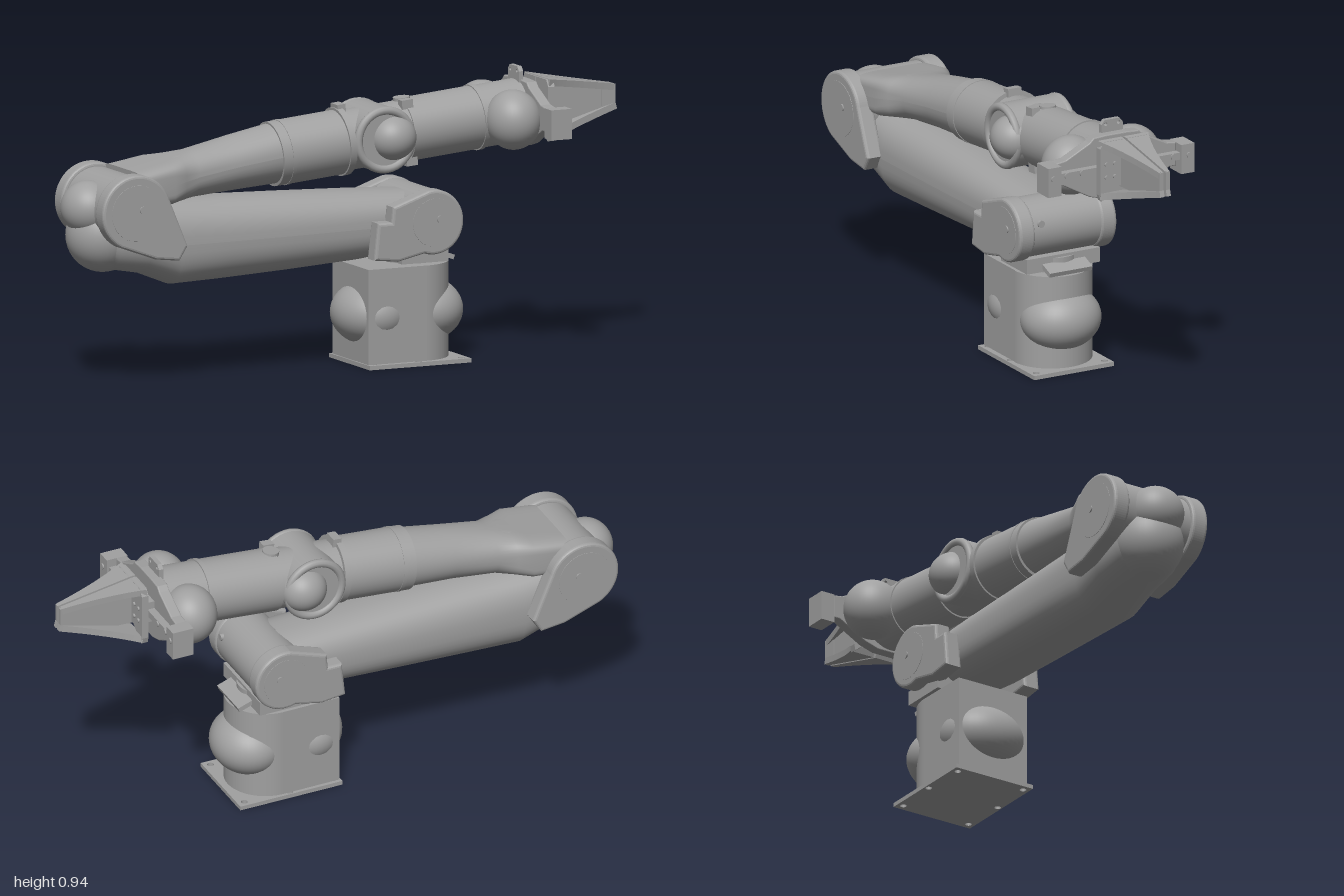
import * as THREE from 'three';

const metal = new THREE.MeshStandardMaterial({ color: 0xa0a0a0 });
metal.name = 'machine grey';

function add(parent, name, geo, x = 0, y = 0, z = 0) {
  const m = new THREE.Mesh(geo, metal);
  m.name = name;
  m.position.set(x, y, z);
  parent.add(m);
  return m;
}
const box = (w, h, d) => new THREE.BoxGeometry(w, h, d);
const cylX = (r, l, r2 = r) => new THREE.CylinderGeometry(r2, r, l, 40).rotateZ(-Math.PI / 2);
const cylZ = (r, l, r2 = r) => new THREE.CylinderGeometry(r2, r, l, 48).rotateX(Math.PI / 2);
const ball = (rx, ry, rz) => new THREE.SphereGeometry(1, 40, 28).scale(rx, ry, rz);
const poly = pts => new THREE.Shape(pts.map(p => new THREE.Vector2(p[0], p[1])));
const extrude = (shape, depth, bevel = 0) => new THREE.ExtrudeGeometry(shape, {
  depth, bevelEnabled: bevel > 0, bevelThickness: bevel, bevelSize: bevel,
  bevelOffset: -bevel, bevelSegments: 3, curveSegments: 32,
});

// Superellipse sections along x: [x, centre y, half height, half depth, exponent]
function loft(sections, n = 48) {
  const pos = [], idx = [];
  const ring = ([x, yc, ry, rz, e]) => {
    for (let j = 0; j <= n; j++) {
      const a = (j / n) * Math.PI * 2, s = Math.sin(a), c = Math.cos(a);
      pos.push(x, yc + ry * Math.sign(s) * Math.abs(s) ** e, rz * Math.sign(c) * Math.abs(c) ** e);
    }
  };
  sections.forEach(ring);
  const w = n + 1;
  for (let i = 0; i < sections.length - 1; i++) for (let j = 0; j < n; j++) {
    const a = i * w + j, b = a + w;
    idx.push(a, b, b + 1, a, b + 1, a + 1);
  }
  // End caps
  [sections[0], sections[sections.length - 1]].forEach((s, k) => {
    const start = pos.length / 3;
    ring(s);
    const c = pos.length / 3;
    pos.push(s[0], s[1], 0);
    for (let j = 0; j < n; j++) {
      if (k) idx.push(c, start + j + 1, start + j);
      else idx.push(c, start + j, start + j + 1);
    }
  });
  const g = new THREE.BufferGeometry();
  g.setAttribute('position', new THREE.Float32BufferAttribute(pos, 3));
  g.setIndex(idx);
  g.computeVertexNormals();
  return g;
}

// Joint cover with a raised round lid, on both sides
function jointCovers(parent, name, shape, cx, cy, r) {
  for (const side of [1, -1]) {
    const g = new THREE.Group();
    g.name = name;
    g.scale.z = side;
    parent.add(g);
    add(g, name + 'Plate', extrude(shape, 0.04, 0.01), cx, cy, 0.133);
    add(g, name + 'Rim', new THREE.TorusGeometry(r * 0.84, 0.008, 10, 48), cx, cy, 0.174);
    add(g, name + 'Lid', cylZ(r * 0.78, 0.02, r * 0.74), cx, cy, 0.174);
    add(g, name + 'Screw', cylZ(0.012, 0.006), cx + 0.02, cy + 0.01, 0.185);
  }
}

function buildBase(root) {
  const g = new THREE.Group();
  g.name = 'base';
  root.add(g);
  // Mounting plate with bolt holes
  const plate = poly([[-0.185, -0.15], [0.185, -0.15], [0.185, 0.15], [-0.185, 0.15]]);
  for (const x of [-0.16, 0, 0.16]) for (const z of [-0.128, 0.128]) {
    const hole = new THREE.Path();
    hole.absarc(x, z * (x ? 1 : 1.06), 0.011, 0, Math.PI * 2, true);
    plate.holes.push(hole);
  }
  add(g, 'basePlate', extrude(plate, 0.014).rotateX(-Math.PI / 2), 0.225, 0, 0.003);
  // Column: flat at the back end, round at the other
  const col = new THREE.Shape();
  col.moveTo(0.045, -0.134);
  col.lineTo(0.25, -0.134);
  col.absarc(0.25, 0, 0.136, -Math.PI / 2, Math.PI / 2, false);
  col.lineTo(0.045, 0.134);
  add(g, 'column', extrude(col, 0.315).rotateX(-Math.PI / 2), 0, 0.014, 0);
  add(g, 'rearBulge', ball(0.125, 0.107, 0.144), 0.113, 0.165, 0);
  add(g, 'frontBulge', ball(0.125, 0.107, 0.138), 0.313, 0.165, 0);
  add(g, 'neck', new THREE.CylinderGeometry(0.085, 0.085, 0.06, 40), 0.26, 0.35, 0);
  add(g, 'saddle', box(0.17, 0.05, 0.275), 0.25, 0.364, 0);
  add(g, 'saddleLip', box(0.06, 0.016, 0.16), 0.355, 0.35, 0).rotation.z = -0.35;
}

function buildLowerArm(root) {
  const g = new THREE.Group();
  g.name = 'lowerArm';
  root.add(g);
  add(g, 'shoulderHousing', cylZ(0.1, 0.28), 0.265, 0.48, 0.003);
  add(g, 'shoulderScrew', cylX(0.012, 0.012), 0.36, 0.515, 0.1);
  add(g, 'armShell', loft([
    [-0.9, 0.5, 0.08, 0.1, 0.8], [-0.85, 0.495, 0.115, 0.125, 0.8],
    [-0.74, 0.485, 0.125, 0.132, 0.8], [-0.63, 0.458, 0.142, 0.133, 0.8],
    [-0.45, 0.459, 0.138, 0.133, 0.85], [-0.2, 0.461, 0.128, 0.132, 0.85],
    [0.05, 0.464, 0.115, 0.13, 0.8], [0.22, 0.47, 0.1, 0.128, 0.8],
  ]));
  const shoulder = new THREE.Shape();
  shoulder.absarc(0, 0, 0.107, -1.9, 1.75, false);
  for (const [x, y] of [[-0.15, 0.06], [-0.155, 0.01], [-0.205, 0.01], [-0.218, -0.112], [-0.13, -0.122]])
    shoulder.lineTo(x, y);
  jointCovers(g, 'shoulderCover', shoulder, 0.262, 0.478, 0.107);
}

function buildElbow(root) {
  const g = new THREE.Group();
  g.name = 'elbow';
  root.add(g);
  add(g, 'elbowHousing', cylZ(0.112, 0.28), -0.82, 0.585, 0);
  add(g, 'upperElbowBulge', ball(0.09, 0.09, 0.095), -0.91, 0.585, 0);
  add(g, 'lowerElbowBulge', ball(0.122, 0.122, 0.12), -0.858, 0.492, 0);
  const cover = new THREE.Shape();
  cover.absarc(0, 0, 0.125, 0.3, 4.25, false);
  for (const [x, y] of [[0.07, -0.158], [0.155, -0.168], [0.185, -0.12]]) cover.lineTo(x, y);
  jointCovers(g, 'elbowCover', cover, -0.82, 0.585, 0.125);
}

function buildForearm(root) {
  const g = new THREE.Group();
  g.name = 'forearm';
  root.add(g);
  add(g, 'forearmShell', loft([
    [-0.785, 0.645, 0.062, 0.145, 0.35], [-0.66, 0.66, 0.07, 0.142, 0.4],
    [-0.61, 0.666, 0.073, 0.122, 0.6], [-0.55, 0.674, 0.077, 0.1, 0.85],
    [-0.4, 0.697, 0.09, 0.096, 1], [-0.24, 0.718, 0.1, 0.1, 1],
  ]));
  // Ridge running out of the elbow yoke
  add(g, 'topRidge', loft([
    [-0.72, 0.7, 0.016, 0.1, 0.5], [-0.61, 0.724, 0.016, 0.06, 0.5], [-0.48, 0.748, 0.012, 0.015, 0.6],
  ], 24));
}

function buildWrist(root) {
  const g = new THREE.Group();
  g.name = 'wrist';
  g.position.set(0.12, 0.75, 0);
  g.rotation.z = 0.09;
  root.add(g);
  add(g, 'rearTube', cylX(0.107, 0.25), -0.245, -0.002, 0);
  add(g, 'rearBand', cylX(0.109, 0.012), -0.33, -0.002, 0);
  add(g, 'rearCollar', cylX(0.114, 0.022), -0.118, 0, 0);
  add(g, 'rearCollarTab', box(0.03, 0.03, 0.05), -0.11, 0.11, 0);
  add(g, 'pitchHousing', cylZ(0.108, 0.215), 0, 0, 0);
  add(g, 'pitchCore', cylX(0.1, 0.24), 0, 0, 0);
  for (const side of [1, -1]) {
    add(g, 'pitchRim', new THREE.TorusGeometry(0.097, 0.014, 10, 40), 0, 0, side * 0.104);
    add(g, 'pitchBulge', ball(0.08, 0.075, 0.078), 0.035, 0, side * 0.085);
    add(g, 'handBulge', ball(0.092, 0.099, 0.098), 0.462, -0.006, side * 0.114);
    add(g, 'collarLug', box(0.04, 0.03, 0.03), 0.11, side * 0.095, 0.05);
  }
  add(g, 'frontTube', cylX(0.105, 0.27), 0.245, 0, 0);
  add(g, 'frontBand', cylX(0.109, 0.016), 0.375, 0, 0);
  add(g, 'handTube', cylX(0.104, 0.16), 0.455, 0, 0);
  add(g, 'topBoss', new THREE.CylinderGeometry(0.028, 0.028, 0.02, 24), 0.12, 0.1, 0);
}

function buildGripper(root) {
  const g = new THREE.Group();
  g.name = 'gripper';
  root.add(g);
  // Cross plate with tapering wings and a sensor tab
  const half = [[0.05, 0.685], [0.1, 0.7], [0.2, 0.755], [0.225, 0.755], [0.225, 0.835], [0.19, 0.84], [0.1, 0.885], [0.085, 0.9], [0.04, 0.903]];
  const mirror = pts => pts.map(([z, y]) => [-z, y]).reverse();
  const alongX = geo => geo.rotateY(Math.PI / 2);
  add(g, 'crossPlate', alongX(extrude(poly([...half, ...mirror(half)]), 0.03, 0.004)), 0.648);
  const tab = poly([[-0.04, 0.88], [0.04, 0.88], [0.04, 0.93], [0.028, 0.945], [-0.028, 0.945], [-0.04, 0.93]]);
  for (const z of [-0.024, 0.024]) {
    const hole = new THREE.Path();
    hole.absarc(z, 0.93, 0.006, 0, Math.PI * 2, true);
    tab.holes.push(hole);
  }
  add(g, 'sensorTab', alongX(extrude(tab, 0.016)), 0.638);
  add(g, 'slideRail', box(0.035, 0.024, 0.5), 0.69, 0.795, 0);
  add(g, 'slideBlock', box(0.05, 0.075, 0.13), 0.695, 0.795, 0);
  // One finger, mirrored
  for (const side of [1, -1]) {
    const f = new THREE.Group();
    f.name = 'finger';
    f.scale.z = side;
    g.add(f);
    add(f, 'railEnd', box(0.075, 0.1, 0.05), 0.678, 0.785, 0.25);
    for (const z of [0.143, 0.2, 0.255])
      add(f, 'railBolt', cylX(0.01, 0.012), z > 0.24 ? 0.714 : 0.706, 0.797, z);
    add(f, 'fingerBase', alongX(extrude(poly([
      [-0.004, 0.745], [-0.03, 0.745], [-0.09, 0.7], [-0.095, 0.72], [-0.095, 0.88], [-0.08, 0.903], [-0.004, 0.903],
    ]), 0.024)), 0.718);
    for (const y of [0.78, 0.825]) for (const z of [0.04, 0.072])
      add(f, 'fingerBolt', cylX(0.007, 0.008), 0.744, y, z);
    add(f, 'gripWall', extrude(poly([
      [0.73, 0.74], [0.85, 0.745], [1, 0.79], [1, 0.86], [0.73, 0.902],
    ]), 0.014), 0, 0, 0.004);
    const rib = new THREE.Shape();
    rib.moveTo(0, 0.004);
    rib.lineTo(0.275, 0.004);
    rib.lineTo(0.275, 0.02);
    rib.quadraticCurveTo(0.11, 0.045, 0, 0.095);
    const ribGeo = t => extrude(rib, t).rotateX(Math.PI / 2);
    add(f, 'topRib', ribGeo(0.022), 0.725, 0.905, 0).rotation.z = -0.16;
    add(f, 'bottomRib', ribGeo(0.022), 0.735, 0.726, 0).rotation.z = 0.27;
    add(f, 'fingerTip', box(0.05, 0.07, 0.016), 0.975, 0.825, 0.012);
  }
}

export function createModel() {
  const root = new THREE.Group();
  root.name = 'robotArm';
  [buildBase, buildLowerArm, buildElbow, buildForearm, buildWrist, buildGripper].forEach(build => build(root));
  return root;
}
